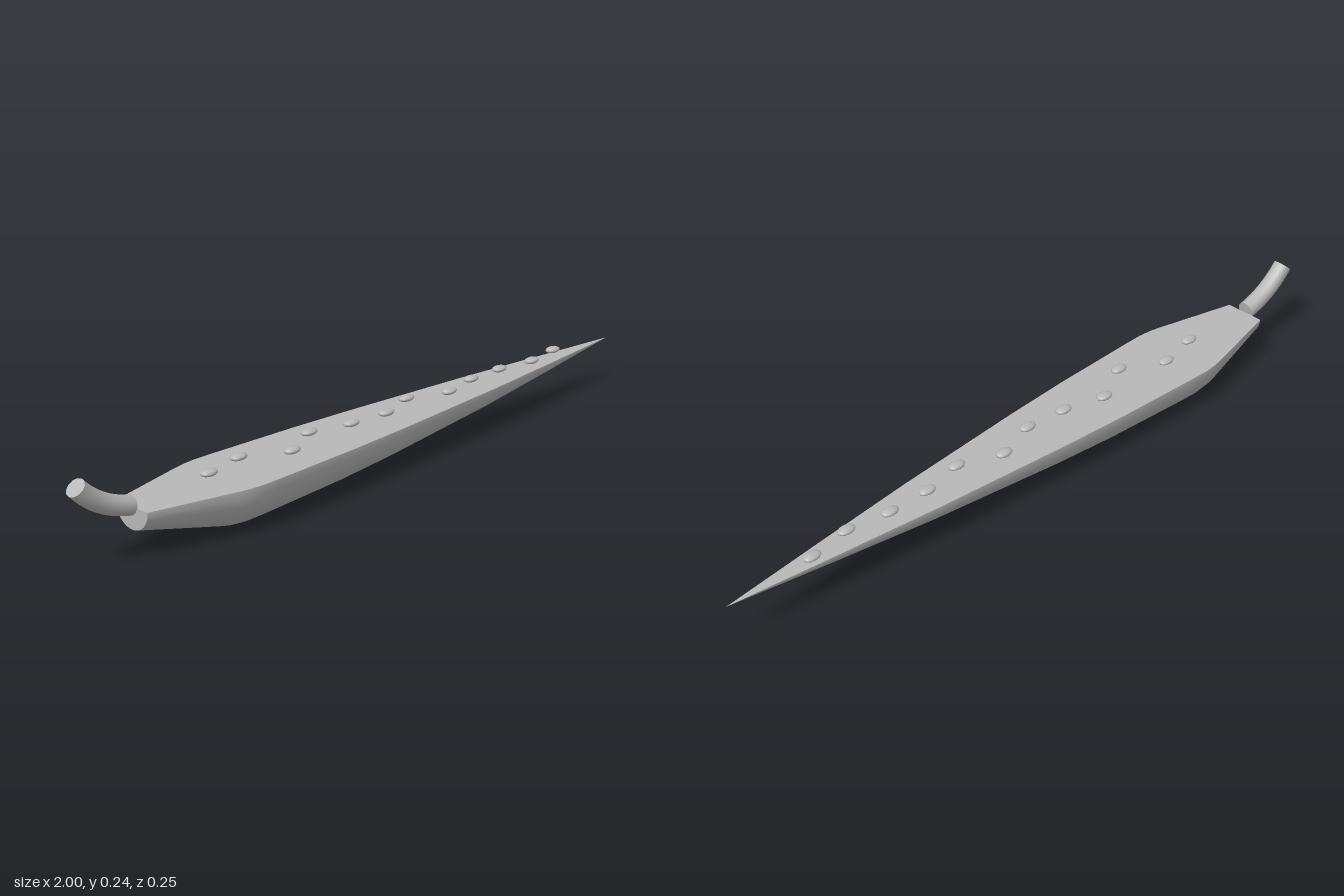
import * as THREE from 'three';

const grey = new THREE.MeshStandardMaterial({ color: 0xb8b8b8 });
grey.name = 'grey';

function add(parent, name, geometry) {
  const mesh = new THREE.Mesh(geometry, grey);
  mesh.name = name;
  parent.add(mesh);
  return mesh;
}

export function createModel() {
  const model = new THREE.Group();
  model.name = 'taperedHalfRoundBody';
  const topY = 0.127;

  // Half-round hull: radius along the length, given as [x, radius]
  const profile = [
    [-0.825, 0.057], [-0.59, 0.115], [-0.56, 0.121], [-0.52, 0.1245], [-0.47, 0.1235],
    [-0.2, 0.113], [0, 0.1], [0.4, 0.066], [0.7, 0.034], [1, 0],
  ];
  const body = new THREE.Group();
  body.name = 'body';
  body.position.y = topY;
  body.scale.y = topY / 0.1245;
  model.add(body);

  const hull = new THREE.LatheGeometry(profile.map(([x, r]) => new THREE.Vector2(r, x)), 16, 0, Math.PI);
  add(body, 'hull', hull.rotateZ(-Math.PI / 2));

  // Flat top with the same outline, mirrored about the centre line
  const outline = [
    ...profile.map(([x, r]) => new THREE.Vector2(x, -r)),
    ...profile.slice(0, -1).reverse().map(([x, r]) => new THREE.Vector2(x, r)),
  ];
  add(body, 'flatTop', new THREE.ShapeGeometry(new THREE.Shape(outline)).rotateX(-Math.PI / 2));

  // Half disc closing the blunt end
  const cap = add(body, 'endCap', new THREE.CircleGeometry(profile[0][1], 16, Math.PI, Math.PI).rotateY(-Math.PI / 2));
  cap.position.x = profile[0][0];

  // Row of flattened beads hovering just over the top, wandering sideways
  const offsets = [0, -0.027, 0.035, -0.028, 0.003, 0.013, -0.027, 0.018, -0.008, -0.008, 0.01, -0.01];
  const beadGeometry = new THREE.SphereGeometry(1, 12, 8);
  offsets.forEach((z, i) => {
    const bead = add(model, 'bead', beadGeometry);
    bead.scale.set(0.026, 0.009, 0.017);
    bead.position.set(-0.585 + i * 0.1218, 0.143, z);
  });

  // Upturned stem at the blunt end
  const path = new THREE.QuadraticBezierCurve3(
    new THREE.Vector3(-0.828, 0.132, 0),
    new THREE.Vector3(-0.92, 0.15, 0),
    new THREE.Vector3(-0.981, 0.218, 0),
  );
  const radius = 0.0255;
  add(model, 'stem', new THREE.TubeGeometry(path, 10, radius, 12));
  [[0, -1], [1, 1]].forEach(([t, direction]) => {
    const end = add(model, 'stemEnd', new THREE.CircleGeometry(radius, 12));
    end.position.copy(path.getPoint(t));
    end.lookAt(path.getPoint(t).addScaledVector(path.getTangent(t), direction));
  });

  return model;
}
